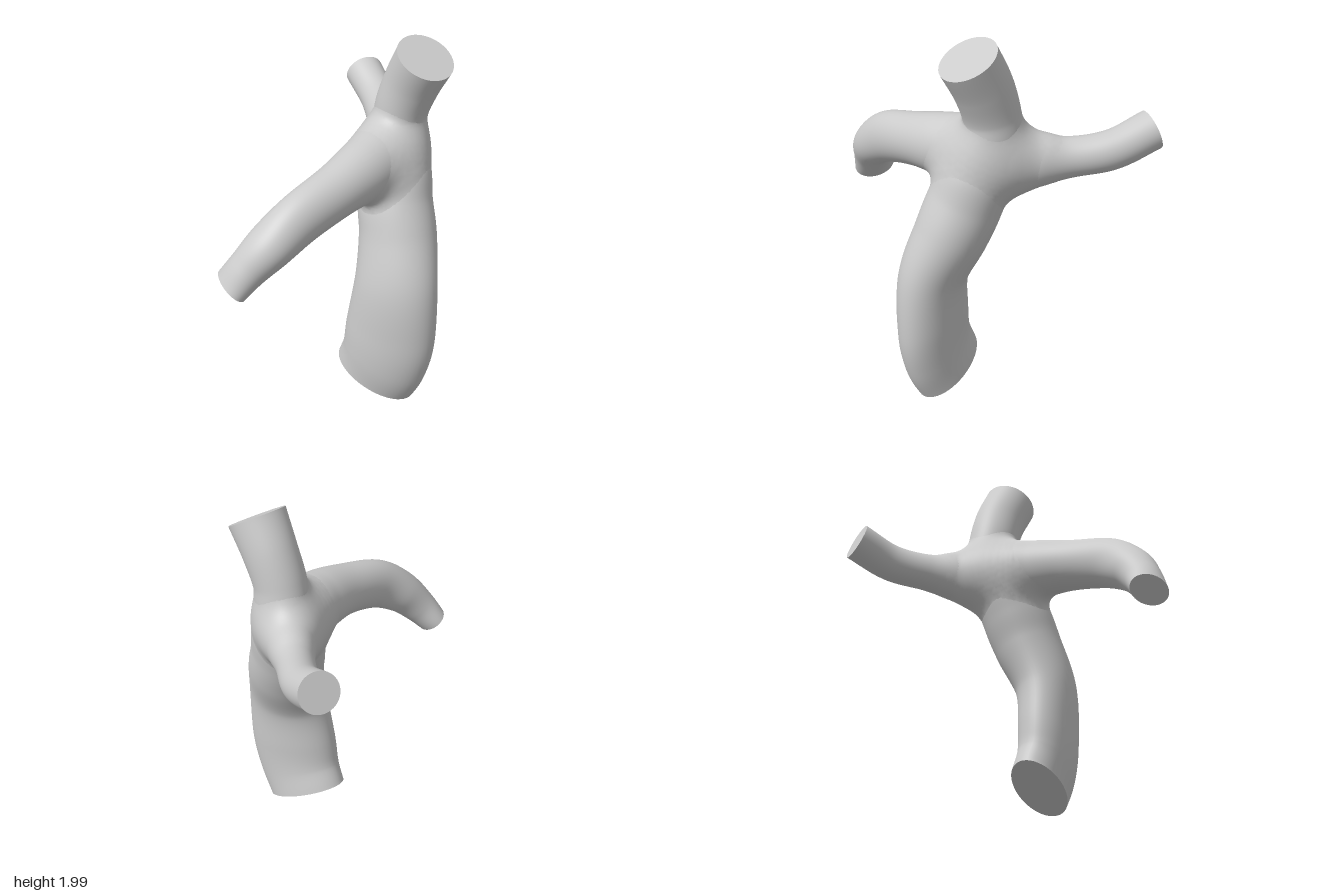
import * as THREE from 'three';

const RINGS = 72, SIDES = 48;
const BLEND = 0.11, INSET = 0.003;                  // fillet size, and how far the hub skin sits under the tubes
const STEP = 0.02, CELLS = 44, ORIGIN = [-0.15, 0.93, -0.3];  // box in which the hub is skinned

// Each branch runs from its cut end into the hub: [x, y, z, radius along ref, radius across]
const BRANCHES = [
  { name: 'mainTrunk', ref: [1, 0, -0.63], pts: [
    [0.175, 0.095, 0.315, 0.145, 0.238], [0.187, 0.24, 0.378, 0.15, 0.247], [0.2, 0.42, 0.406, 0.156, 0.253],
    [0.222, 0.7, 0.41, 0.165, 0.23], [0.278, 0.95, 0.33, 0.188, 0.21], [0.3, 1.12, 0.262, 0.193, 0.2],
    [0.335, 1.32, 0.19, 0.175, 0.185], [0.37, 1.45, 0.14, 0.06, 0.06]] },
  { name: 'upperBranch', ref: [1, 0, 0], pts: [
    [0.422, 1.918, 0.31, 0.152, 0.152], [0.408, 1.76, 0.222, 0.14, 0.15], [0.39, 1.6, 0.163, 0.136, 0.147],
    [0.388, 1.45, 0.15, 0.136, 0.155], [0.38, 1.32, 0.16, 0.08, 0.08]] },
  { name: 'rightBranch', ref: [0, 0, 1], pts: [
    [-0.698, 0.943, 0.317, 0.113, 0.081], [-0.62, 1.045, 0.355, 0.108, 0.1], [-0.51, 1.155, 0.385, 0.122, 0.12],
    [-0.34, 1.257, 0.38, 0.115, 0.138], [-0.1, 1.322, 0.33, 0.132, 0.143], [0.1, 1.353, 0.262, 0.155, 0.167],
    [0.28, 1.37, 0.18, 0.165, 0.172], [0.42, 1.37, 0.12, 0.06, 0.06]] },
  { name: 'backBranch', ref: [1, 0, 0], pts: [
    [0.65, 1.46, -0.61, 0.106, 0.104], [0.615, 1.382, -0.4, 0.1, 0.103], [0.53, 1.35, -0.2, 0.1, 0.106],
    [0.46, 1.345, -0.05, 0.128, 0.147], [0.395, 1.335, 0.07, 0.145, 0.17], [0.36, 1.33, 0.2, 0.08, 0.08]] },
];

// Cross-section frames and radii along a branch
function sampleBranch({ ref, pts }) {
  const path = new THREE.CatmullRomCurve3(pts.map(p => new THREE.Vector3(p[0], p[1], p[2])), false, 'catmullrom', 0.5);
  const size = new THREE.CatmullRomCurve3(pts.map(p => new THREE.Vector3(p[3], p[4], 0)), false, 'catmullrom', 0.5);
  const side = new THREE.Vector3(...ref);
  return Array.from({ length: RINGS + 1 }, (_, i) => {
    const c = path.getPoint(i / RINGS), t = path.getTangent(i / RINGS), s = size.getPoint(i / RINGS);
    const u = side.clone().addScaledVector(t, -t.dot(side)).normalize();
    const v = new THREE.Vector3().crossVectors(t, u);
    return { c, u, v, t, a: s.x, b: s.y, r: (s.x + s.y) / 2 };
  });
}

// Approximate signed distance from a point to one elliptical tube
function tubeDistance(p, frames) {
  let best = Infinity, near;
  for (const f of frames) {
    const d = p.distanceTo(f.c) - f.r;
    if (d < best) { best = d; near = f; }
  }
  const q = p.clone().sub(near.c), len = q.length() + 1e-9;
  return len - len / (Math.hypot(q.dot(near.u) / near.a, q.dot(near.v) / near.b, q.dot(near.t) / near.r) + 1e-9);
}

// Smooth union of all the tubes
function field(p, tubes) {
  return INSET + tubes.map(f => tubeDistance(p, f)).reduce((m, d) => {
    const h = Math.max(BLEND - Math.abs(m - d), 0) / BLEND;
    return Math.min(m, d) - h * h * BLEND / 4;
  });
}

function gradient(p, tubes) {
  const g = [0, 1, 2].map(k => {
    const e = new THREE.Vector3().setComponent(k, 0.004);
    return field(p.clone().add(e), tubes) - field(p.clone().sub(e), tubes);
  });
  return new THREE.Vector3(...g).normalize();
}

function makeGeometry(pos, idx, normals) {
  const g = new THREE.BufferGeometry();
  g.setAttribute('position', new THREE.Float32BufferAttribute(pos, 3));
  g.setIndex(idx);
  if (normals) g.setAttribute('normal', new THREE.Float32BufferAttribute(normals, 3));
  else g.computeVertexNormals();
  return g;
}

// Seamless skin around the junction: one vertex per crossed grid cell, one quad per crossed grid edge
function hubGeometry(tubes) {
  const n = CELLS + 1, stride = [1, n, n * n];
  const gridPoint = id => new THREE.Vector3(id % n, Math.floor(id / n) % n, Math.floor(id / (n * n)))
    .multiplyScalar(STEP).add(new THREE.Vector3(...ORIGIN));
  const values = Array.from({ length: n ** 3 }, (_, id) => field(gridPoint(id), tubes));
  const pos = [], normals = [], idx = [], cellVertex = new Map();
  const inside = id => values[id] < 0;
  for (let id = 0; id < n ** 3; id++) {
    if (id % n === CELLS || Math.floor(id / n) % n === CELLS || id >= CELLS * n * n) continue;
    const p = new THREE.Vector3();
    let hits = 0;
    for (let corner = 0; corner < 8; corner++) for (let a = 0; a < 3; a++) {
      if (corner >> a & 1) continue;
      const i = id + stride.reduce((s, w, k) => s + (corner >> k & 1) * w, 0), j = i + stride[a];
      if (inside(i) === inside(j)) continue;
      p.add(gridPoint(i).lerp(gridPoint(j), values[i] / (values[i] - values[j])));
      hits++;
    }
    if (!hits) continue;
    p.divideScalar(hits);
    p.addScaledVector(gradient(p, tubes), -field(p, tubes));
    cellVertex.set(id, pos.length / 3);
    pos.push(...p.toArray());
    normals.push(...gradient(p, tubes).toArray());
  }
  for (let id = 0; id < n ** 3; id++) for (let a = 0; a < 3; a++) {
    const end = id + stride[a], b = stride[(a + 1) % 3], c = stride[(a + 2) % 3];
    if (end >= n ** 3 || inside(id) === inside(end)) continue;
    const quad = [id - b - c, id - c, id, id - b].map(k => cellVertex.get(k));
    if (quad.includes(undefined)) continue;
    const [q0, q1, q2, q3] = inside(id) ? quad : quad.reverse();
    idx.push(q0, q1, q2, q0, q2, q3);
  }
  return makeGeometry(pos, idx, normals);
}

function branchGeometry(frames) {
  const pos = [], idx = [];
  frames.forEach((f, i) => {
    for (let j = 0; j < SIDES; j++) {
      const w = j / SIDES * Math.PI * 2;
      const p = f.c.clone().addScaledVector(f.u, f.a * Math.cos(w)).addScaledVector(f.v, f.b * Math.sin(w));
      pos.push(...p.toArray());
      if (i === RINGS) continue;
      const a = i * SIDES + j, b = i * SIDES + (j + 1) % SIDES;
      idx.push(a, b, a + SIDES, b, b + SIDES, a + SIDES);
    }
  });
  // Flat cut end, with its own vertices for a crisp rim
  const centre = pos.length / 3;
  pos.push(...frames[0].c.toArray());
  for (let j = 0; j < SIDES; j++) {
    pos.push(...pos.slice(j * 3, j * 3 + 3));
    idx.push(centre, centre + 1 + (j + 1) % SIDES, centre + 1 + j);
  }
  return makeGeometry(pos, idx);
}

export function createModel() {
  const group = new THREE.Group();
  group.name = 'branchingTube';
  const material = new THREE.MeshStandardMaterial({ color: 0xcccccc });
  const add = (name, geometry) => {
    const mesh = new THREE.Mesh(geometry, material);
    mesh.name = name;
    group.add(mesh);
  };
  const tubes = BRANCHES.map(sampleBranch);
  BRANCHES.forEach((branch, i) => add(branch.name, branchGeometry(tubes[i])));
  add('junction', hubGeometry(tubes));
  return group;
}
